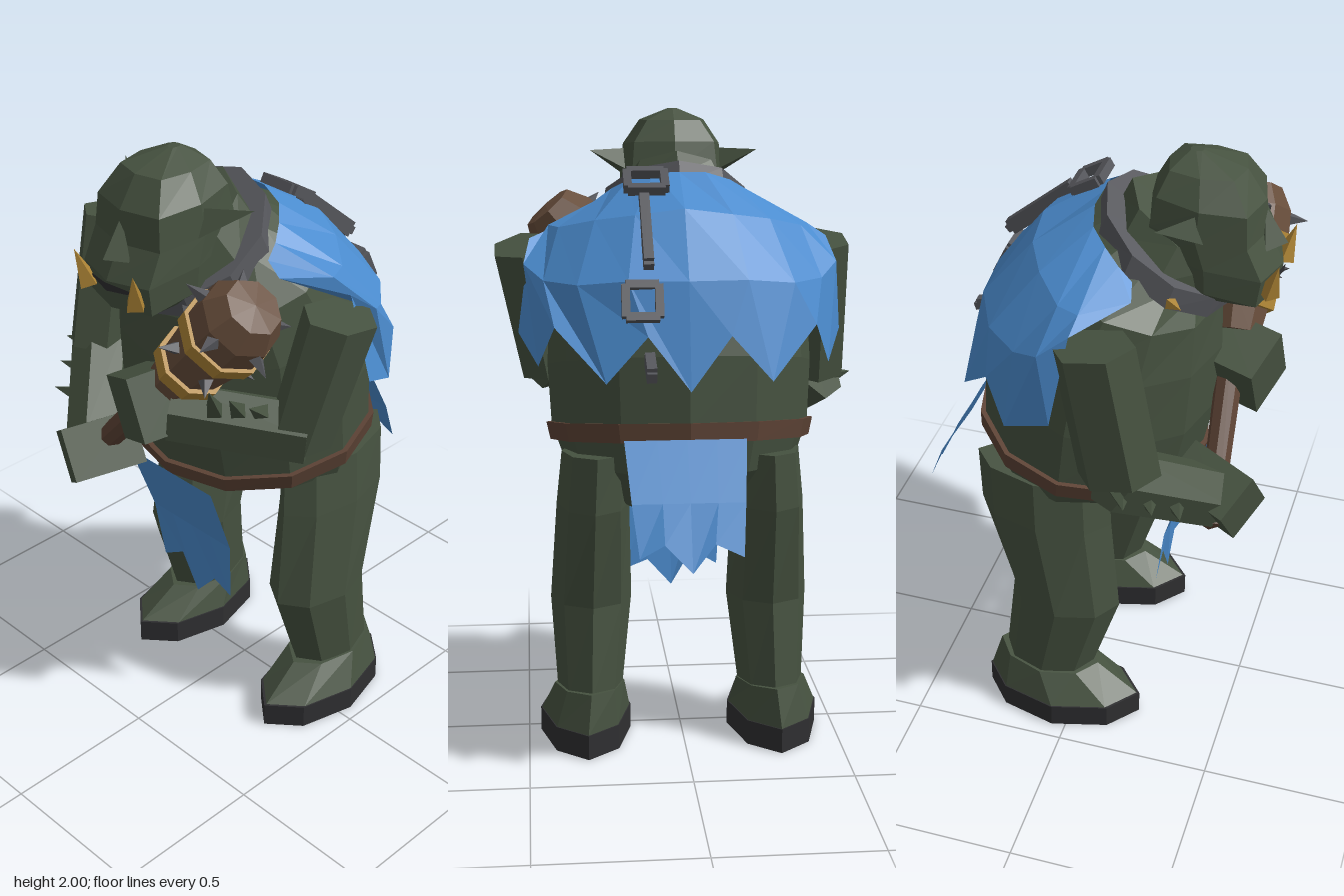
import * as THREE from 'three';

const mat = (name, color, side = THREE.FrontSide) => {
  const m = new THREE.MeshStandardMaterial({ color, side });
  m.name = name;
  return m;
};
const V = (p) => new THREE.Vector3(...p);

export function createModel() {
  const root = new THREE.Group();
  root.name = 'clubBrute';
  const skin = mat('green skin', 0x465240);
  const blue = mat('blue cloth', 0x4b8ccf, THREE.DoubleSide);
  const sole = mat('dark sole', 0x2f2f31);
  const wood = mat('brown wood', 0x674d3b);
  const leather = mat('brown leather', 0x5d4335);
  const gold = mat('dull gold', 0xac8335);
  const iron = mat('grey iron', 0x56575c);

  // Faceted mesh helper
  const add = (name, geometry, material, parent = root) => {
    const g = geometry.index ? geometry.toNonIndexed() : geometry;
    g.computeVertexNormals();
    const m = new THREE.Mesh(g, material);
    m.name = name;
    parent.add(m);
    return m;
  };
  const group = (name) => {
    const g = new THREE.Group();
    g.name = name;
    root.add(g);
    return g;
  };
  const buffer = (pos, idx) => {
    const g = new THREE.BufferGeometry();
    g.setAttribute('position', new THREE.Float32BufferAttribute(pos, 3));
    g.setIndex(idx);
    return g;
  };

  // Closed loft, rings from low to high: [front y, front z, back y, back z, half width, centre x]
  const loft = (rings, n = 8, power = 1, mirror = 1) => {
    const pos = [], idx = [];
    const shape = (v) => Math.sign(v) * Math.pow(Math.abs(v), power);
    for (const [yf, zf, yb, zb, hw, cx = 0] of rings) {
      for (let j = 0; j < n; j++) {
        const a = (j / n) * Math.PI * 2;
        const t = (1 + shape(Math.cos(a))) / 2;
        pos.push(cx * mirror + hw * shape(Math.sin(a)), yb + (yf - yb) * t, zb + (zf - zb) * t);
      }
    }
    const top = (rings.length - 1) * n, c = rings.length * n;
    for (const [yf, zf, yb, zb, , cx = 0] of [rings[0], rings[rings.length - 1]])
      pos.push(cx * mirror, (yf + yb) / 2, (zf + zb) / 2);
    for (let j = 0; j < n; j++) {
      const k = (j + 1) % n;
      for (let i = 0; i < top; i += n) idx.push(i + j, i + k, i + n + k, i + j, i + n + k, i + n + j);
      idx.push(c, k, j, c + 1, top + j, top + k);
    }
    return buffer(pos, idx);
  };

  // Open sheet from rows of points
  const sheet = (rows) => {
    const n = rows[0].length, idx = [];
    for (let i = 0; i < rows.length - 1; i++)
      for (let j = 0; j < n - 1; j++) {
        const a = i * n + j;
        idx.push(a, a + n, a + n + 1, a, a + n + 1, a + 1);
      }
    return buffer(rows.flat(2), idx);
  };

  // Tapered prism between two points
  const limb = (name, a, b, ra, rb, material, sides = 6, depth = 1, parent = root) => {
    const A = V(a), B = V(b), d = B.clone().sub(A);
    const g = new THREE.CylinderGeometry(rb, ra, d.length(), sides);
    g.scale(1, 1, depth);
    const m = add(name, g, material, parent);
    m.position.copy(A).add(B).multiplyScalar(0.5);
    m.quaternion.setFromUnitVectors(new THREE.Vector3(0, 1, 0), d.normalize());
    return m;
  };
  const spike = (name, a, b, r, material, parent = root) => limb(name, a, b, r, 0, material, 4, 1, parent);
  const box = (name, size, p, r, material, parent = root) => {
    const m = add(name, new THREE.BoxGeometry(...size), material, parent);
    m.position.set(...p);
    m.rotation.set(...r);
    return m;
  };

  // Torso, belt and collar
  add('torso', loft([
    [0.78, 0.08, 0.80, -0.28, 0.2], [0.9, 0.27, 0.93, -0.35, 0.37], [0.97, 0.335, 1.08, -0.37, 0.41],
    [1.13, 0.37, 1.3, -0.36, 0.42], [1.34, 0.38, 1.54, -0.3, 0.41], [1.5, 0.37, 1.71, -0.15, 0.36],
    [1.57, 0.34, 1.81, 0.03, 0.22]], 12), skin);
  add('belt', loft([[0.915, 0.335, 1.04, -0.385, 0.415], [0.965, 0.35, 1.1, -0.385, 0.427]], 12), leather);
  add('collar', loft([[1.51, 0.4, 1.78, -0.01, 0.25], [1.575, 0.42, 1.85, 0.015, 0.235]], 10), iron);
  add('neck', loft([[1.54, 0.4, 1.8, 0.055, 0.215], [1.66, 0.45, 1.875, 0.09, 0.16]], 8), skin);
  for (const [x, y, z] of [[0, 1.54, 0.41], [0.23, 1.62, 0.27], [-0.23, 1.62, 0.27]])
    spike('collarStud', [x, y, z], [x * 1.12, y, z + 0.04], 0.022, gold);

  // Head
  const head = group('head');
  add('skull', loft([
    [1.56, 0.46, 1.6, 0.22, 0.12], [1.58, 0.535, 1.67, 0.17, 0.165], [1.67, 0.55, 1.74, 0.15, 0.17],
    [1.77, 0.5, 1.81, 0.145, 0.168], [1.87, 0.49, 1.9, 0.165, 0.158], [1.96, 0.43, 1.965, 0.2, 0.105],
    [2.0, 0.3, 2.0, 0.26, 0.015]], 8, 0.6), skin, head);
  spike('nose', [0, 1.73, 0.505], [0, 1.85, 0.485], 0.055, skin, head);
  add('mouth', sheet([
    [[-0.09, 1.655, 0.528], [0, 1.668, 0.556], [0.09, 1.655, 0.528]],
    [[-0.09, 1.645, 0.526], [0, 1.64, 0.552], [0.09, 1.645, 0.526]]]), sole, head);
  for (const s of [1, -1]) {
    spike('tusk', [s * 0.1, 1.62, 0.53], [s * 0.125, 1.73, 0.56], 0.034, gold, head);
    const ear = buffer([
      s * 0.27, 1.87, 0.23, s * 0.14, 1.87, 0.33, s * 0.14, 1.77, 0.37, s * 0.14, 1.8, 0.27],
    s > 0 ? [0, 1, 2, 0, 2, 3, 0, 3, 1] : [0, 2, 1, 0, 3, 2, 0, 1, 3]);
    add('ear', ear, skin, head);
  }

  // Legs and feet
  const legs = group('legs');
  legs.position.x = 0.007;
  for (const s of [1, -1]) {
    add('leg', loft([
      [0.18, 0.055, 0.18, -0.25, 0.105, 0.293], [0.45, 0.14, 0.47, -0.22, 0.13, 0.285],
      [0.78, 0.11, 0.8, -0.32, 0.115, 0.278], [0.94, 0.1, 0.98, -0.33, 0.105, 0.27]], 8, 1.05, s), skin, legs);
    add('foot', loft([
      [0.08, 0.21, 0.08, -0.305, 0.143, 0.307], [0.17, 0.07, 0.2, -0.27, 0.112, 0.295]], 8, 1.12, s), skin, legs);
    add('sole', loft([
      [0, 0.22, 0, -0.31, 0.147, 0.307], [0.08, 0.22, 0.08, -0.31, 0.147, 0.307]], 8, 1.12, s), sole, legs);
  }

  // Arms with forearm spikes
  limb('rightUpperArm', [-0.46, 1.15, 0.19], [-0.462, 1.59, 0.11], 0.1, 0.098, skin, 6, 1.3);
  limb('rightForearm', [-0.48, 1.15, 0.17], [-0.24, 0.95, 0.42], 0.105, 0.1, skin);
  box('rightFist', [0.16, 0.17, 0.23], [-0.215, 0.955, 0.425], [0.15, -0.45, 0.65], skin);
  limb('leftUpperArm', [0.42, 1.17, 0.19], [0.495, 1.58, 0.11], 0.09, 0.1, skin, 6, 1.3);
  limb('leftForearm', [0.45, 1.2, 0.18], [0.12, 1.24, 0.42], 0.1, 0.1, skin);
  box('leftFist', [0.18, 0.2, 0.2], [0.06, 1.255, 0.43], [0.1, -0.3, 0.45], skin);
  for (let i = 0; i < 3; i++) {
    spike('rightArmSpike', [-0.5 + i * 0.055, 1.12 - i * 0.045, 0.2 + i * 0.07],
      [-0.595 + i * 0.053, 1.13 - i * 0.045, 0.24 + i * 0.072], 0.038, skin);
    spike('leftArmSpike', [0.36 - i * 0.05, 1.27, 0.28 + i * 0.05],
      [0.39 - i * 0.03, 1.34 + i * 0.035, 0.37 + i * 0.05], 0.035, skin);
  }

  // Club, built upright and tilted along its axis
  const club = group('club');
  club.position.set(-0.29, 0.88, 0.43);
  club.quaternion.setFromUnitVectors(new THREE.Vector3(0, 1, 0), V([0.69, 0.785, -0.06]).normalize());
  const lathe = (pts) => new THREE.LatheGeometry(pts.map(([r, y]) => new THREE.Vector2(r, y)), 8);
  add('clubHandle', lathe([[0, -0.02], [0.045, 0], [0.045, 0.05], [0.038, 0.06], [0.045, 0.64]]), leather, club);
  add('clubHead', lathe([[0, 0.6], [0.08, 0.6], [0.1, 0.72], [0.128, 0.92], [0.125, 0.99], [0.088, 1.06], [0, 1.07]]), wood, club);
  for (const [y, r] of [[0.7, 0.112], [0.89, 0.136]])
    add('clubBand', lathe([[r - 0.03, y - 0.024], [r, y - 0.024], [r + 0.004, y + 0.024], [r - 0.03, y + 0.024]]), gold, club);
  for (const [y, r] of [[0.8, 0.1], [0.97, 0.115]])
    for (let i = 0; i < 5; i++) {
      const a = (i / 5) * Math.PI * 2 + y * 4, c = Math.cos(a), s = Math.sin(a);
      spike('clubSpike', [c * r, y, s * r], [c * (r + 0.065), y, s * (r + 0.065)], 0.024, iron, club);
    }

  // Torn cape: columns from the spine to one shoulder, mirrored
  const half = [
    [[0, 1.815, 0.0], [0, 1.72, -0.185], [0, 1.52, -0.335], [0, 1.2, -0.41]],
    [[0.08, 1.815, 0.0], [0.15, 1.7, -0.17], [0.18, 1.52, -0.32], [0.125, 1.36, -0.37]],
    [[0.16, 1.79, 0.02], [0.27, 1.68, -0.11], [0.33, 1.5, -0.25], [0.25, 1.22, -0.37]],
    [[0.21, 1.76, 0.07], [0.38, 1.65, -0.02], [0.43, 1.5, -0.14], [0.4, 1.37, -0.24]],
    [[0.245, 1.725, 0.12], [0.41, 1.65, 0.05], [0.49, 1.54, -0.05], [0.45, 1.24, -0.17]],
    [[0.26, 1.69, 0.165], [0.32, 1.66, 0.18], [0.47, 1.61, 0.04], [0.51, 1.32, -0.01]]];
  const mirrored = half.slice(1).map((col) => col.map(([x, y, z]) => [-x, y, z]));
  add('cape', sheet([...half.slice().reverse(), ...mirrored]), blue);

  // Loincloths with jagged hems
  const xs = [-0.17, -0.08, 0.01, 0.1, 0.2], hem = [-0.145, -0.06, 0.01, 0.09, 0.165];
  add('frontLoincloth', sheet([
    xs.map((x) => [x, 0.93, 0.345]), xs.map((x) => [x * 0.95, 0.68, 0.255]),
    hem.map((x, i) => [x, [0.47, 0.52, 0.4, 0.49, 0.46][i], 0.228])]), blue);
  add('backLoincloth', sheet([
    xs.map((x) => [x, 1.05, -0.385]), xs.map((x) => [x * 0.92, 0.88, -0.485]),
    hem.map((x, i) => [x, [0.73, 0.77, 0.69, 0.77, 0.73][i], [-0.55, -0.545, -0.575, -0.545, -0.55][i]])]), blue);

  // Broken chain down the back: position, tilt, edge-on or flat, width, length
  for (const [p, tilt, turn, w, h] of [
    [[0.11, 1.795, -0.07], 1.05, 0, 0.115, 0.09], [[0.12, 1.66, -0.23], 0.87, 1, 0.025, 0.27],
    [[0.14, 1.465, -0.35], 0.45, 0, 0.1, 0.1], [[0.12, 1.275, -0.405], 1.25, 1, 0.025, 0.1]]) {
    const link = group('chainLink');
    link.position.set(...p);
    link.rotation.set(tilt, turn * Math.PI / 2, 0);
    for (const s of [1, -1]) {
      box('linkSide', [0.025, h, 0.03], [s * w / 2, 0, 0], [0, 0, 0], iron, link);
      box('linkEnd', [w, 0.025, 0.03], [0, s * h / 2, 0], [0, 0, 0], iron, link);
    }
  }
  return root;
}
